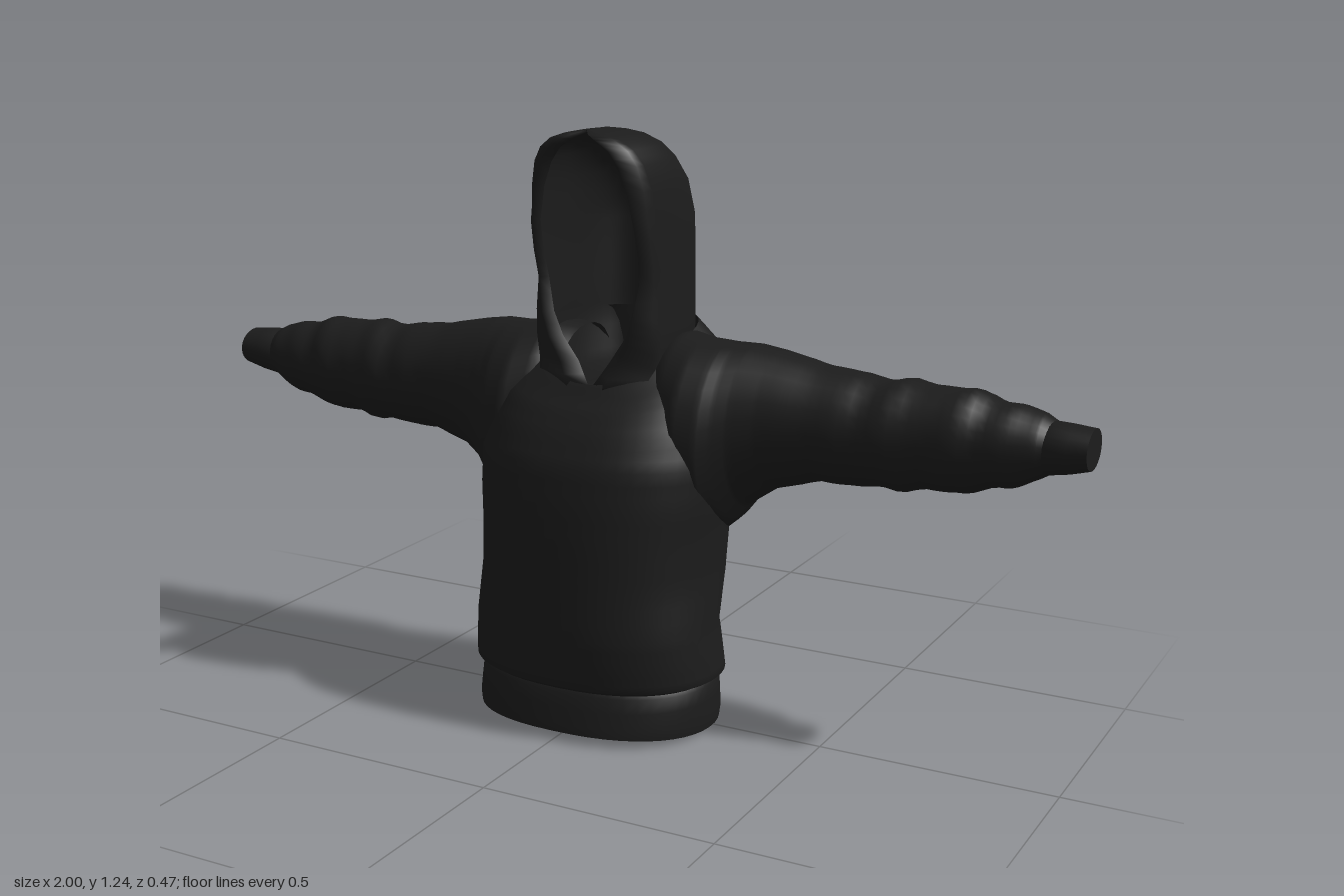
import * as THREE from 'three';

const { lerp, clamp, smoothstep } = THREE.MathUtils;
const fabric = new THREE.MeshStandardMaterial({ color: 0x1c1c1c, side: THREE.DoubleSide });
fabric.name = 'charcoal fabric';

// Smooth skin through a list of rings (arrays of [x, y, z]); caps have their own vertices
function loft(name, rings, { closed = true, capStart = false, capEnd = false } = {}) {
  const n = rings[0].length, pos = rings.flat(2), idx = [];
  for (let r = 0; r < rings.length - 1; r++) {
    for (let i = 0; i < (closed ? n : n - 1); i++) {
      const j = (i + 1) % n, a = r * n + i, b = r * n + j;
      idx.push(a, b, b + n, a, b + n, a + n);
    }
  }
  const cap = (ring, flip) => {
    const base = pos.length / 3;
    const c = [0, 1, 2].map(k => ring.reduce((s, p) => s + p[k], 0) / n);
    pos.push(...ring.flat(), ...c);
    for (let i = 0; i < n; i++) {
      const a = base + i, b = base + (i + 1) % n;
      idx.push(...(flip ? [b, a, base + n] : [a, b, base + n]));
    }
  };
  if (capStart) cap(rings[0], true);
  if (capEnd) cap(rings[rings.length - 1], false);
  const g = new THREE.BufferGeometry();
  g.setAttribute('position', new THREE.Float32BufferAttribute(pos, 3));
  g.setIndex(idx);
  g.computeVertexNormals();
  const m = new THREE.Mesh(g, fabric);
  m.name = name;
  return m;
}

// Insert blended rows between the given ones
function resample(rows, steps) {
  const out = [];
  for (let i = 0; i < rows.length - 1; i++) {
    for (let s = 0; s < steps; s++) {
      out.push(rows[i].map((v, k) => lerp(v, rows[i + 1][k], s / steps)));
    }
  }
  out.push(rows[rows.length - 1]);
  return out;
}

const spow = (v, e) => Math.sign(v) * Math.abs(v) ** e;

// Horizontal body ring: height, half width, front z, back z, drop of the front edge
function bodyRing([y, w, zf, zb, dip]) {
  const ring = [], N = 48;
  // The back bulges in the middle at the waist and flattens between the shoulders
  const waist = smoothstep(y, 0.2, 0.35), shoulders = smoothstep(y, 0.42, 0.62);
  const backPower = lerp(lerp(0.95, 1.15, waist), 0.6, shoulders);
  for (let i = 0; i < N; i++) {
    const a = (i / N) * Math.PI * 2;
    const s = Math.sin(a), c = Math.cos(a);
    ring.push([
      w * spow(s, 0.85),
      y - dip * ((1 + c) / 2) ** 2,
      (zf + zb) / 2 + ((zf - zb) / 2) * spow(c, c < 0 ? backPower : 0.95),
    ]);
  }
  return ring;
}

// Upright sleeve ring: x, bottom y, top y, back z, front z
function sleeveRing([x, y0, y1, z0, z1], side, wrinkle) {
  const ring = [], N = 28;
  // Fuller towards the back of the shoulder
  const backPower = lerp(0.75, 1, smoothstep(x, 0.2, 0.45));
  for (let i = 0; i < N; i++) {
    const a = (i / N) * Math.PI * 2 * side;
    const s = Math.sin(a), c = Math.cos(a);
    const k = 1 + wrinkle * (Math.sin(x * 52 + 1.3 * s) + 0.6 * Math.sin(x * 83 + 2 * a));
    ring.push([
      side * x,
      (y0 + y1) / 2 + ((y1 - y0) / 2) * k * c,
      (z0 + z1) / 2 + ((z1 - z0) / 2) * k * spow(s, s < 0 ? backPower : 1),
    ]);
  }
  return ring;
}

// U-shaped hood ring, left to right round the back: height, half width, front z, back z, opening half width
function hoodRing([y, w, zf, zb, open]) {
  const N = 32, ring = [];
  const edge = w * 0.9, lip = Math.min(open, w * 0.85);
  const rim = [[lip, y, zf - 0.03], [lip + (edge - lip) * 0.3, y, zf - 0.004]];
  for (let i = 0; i <= N; i++) {
    const a = 0.1 + (i / N) * (Math.PI - 0.2);
    const front = Math.max(0, 1 - Math.sin(a) * 1.5);
    ring.push([
      w * spow(Math.cos(a), 0.5) * (1 - 0.13 * front),
      y,
      zf - (zf - zb) * Math.sin(a) ** 0.95,
    ]);
  }
  return [...rim, ...ring, ...rim.map(([x, yy, z]) => [-x, yy, z]).reverse()];
}

export function createModel() {
  const group = new THREE.Group();
  group.name = 'hoodedSweatshirt';

  // Torso, with the neckline dropping at the front
  const torso = resample([
    [0.112, 0.258, 0.214, -0.163, 0],
    [0.122, 0.276, 0.228, -0.174, 0],
    [0.17, 0.272, 0.233, -0.168, 0],
    [0.23, 0.266, 0.236, -0.161, 0],
    [0.33, 0.264, 0.23, -0.222, 0],
    [0.42, 0.267, 0.224, -0.233, 0],
    [0.5, 0.274, 0.215, -0.233, 0],
    [0.58, 0.275, 0.2, -0.226, 0],
    [0.66, 0.264, 0.168, -0.221, 0.02],
    [0.74, 0.245, 0.138, -0.22, 0.06],
    [0.79, 0.215, 0.112, -0.222, 0.085],
    [0.825, 0.165, 0.095, -0.226, 0.1],
    [0.84, 0.143, 0.09, -0.228, 0.11],
  ], 3);
  group.add(loft('torso', torso.map(bodyRing)));

  // Ribbed hem band, closed underneath
  const hem = [
    [0.004, 0.262, 0.234, -0.177, -0.02],
    [0.03, 0.266, 0.232, -0.176, -0.012],
    [0.075, 0.264, 0.224, -0.17, 0],
    [0.105, 0.262, 0.218, -0.168, 0],
    [0.118, 0.25, 0.208, -0.158, 0],
  ];
  group.add(loft('hemBand', hem.map(bodyRing), { capStart: true }));

  // Sleeves and cuffs, mirrored; the roots taper away inside the torso
  const sleeve = resample([
    [0.1, 0.58, 0.815, -0.212, 0.03],
    [0.15, 0.52, 0.824, -0.218, 0.075],
    [0.2, 0.45, 0.817, -0.221, 0.108],
    [0.25, 0.418, 0.814, -0.222, 0.1],
    [0.275, 0.44, 0.813, -0.222, 0.082],
    [0.305, 0.48, 0.812, -0.221, 0.064],
    [0.36, 0.518, 0.803, -0.219, 0.045],
    [0.46, 0.545, 0.782, -0.212, 0.025],
    [0.56, 0.546, 0.77, -0.207, 0.015],
    [0.66, 0.552, 0.77, -0.198, 0.005],
    [0.76, 0.562, 0.765, -0.192, -0.003],
    [0.84, 0.58, 0.748, -0.185, -0.018],
    [0.9, 0.605, 0.735, -0.172, -0.03],
    [0.925, 0.62, 0.722, -0.158, -0.04],
  ], 5);
  const cuff = [
    [0.9, 0.63, 0.71, -0.145, -0.05],
    [0.915, 0.617, 0.724, -0.155, -0.038],
    [0.96, 0.625, 0.722, -0.152, -0.04],
    [1.0, 0.636, 0.718, -0.15, -0.042],
  ];
  for (const [label, side] of [['left', 1], ['right', -1]]) {
    const rings = sleeve.map(r => sleeveRing(r, side, clamp((r[0] - 0.4) * 0.15, 0, 0.03)));
    group.add(loft(label + 'Sleeve', rings));
    group.add(loft(label + 'Cuff', cuff.map(r => sleeveRing(r, side, 0)), { capEnd: true }));
  }

  // Hood: open face with a turned-in rim, a V at the throat and a drape tapering down the back
  const hood = resample([
    [0.4, 0.0, -0.14, -0.228, 0],
    [0.52, 0.07, -0.1, -0.234, 0],
    [0.64, 0.125, 0.0, -0.228, 0],
    [0.72, 0.14, 0.1, -0.226, 0.003],
    [0.77, 0.148, 0.085, -0.229, 0.035],
    [0.82, 0.154, 0.088, -0.235, 0.07],
    [0.87, 0.153, 0.09, -0.236, 0.09],
    [0.94, 0.152, 0.081, -0.236, 0.107],
    [1.0, 0.152, 0.093, -0.236, 0.113],
    [1.06, 0.15, 0.108, -0.235, 0.11],
    [1.13, 0.145, 0.116, -0.208, 0.096],
    [1.18, 0.132, 0.12, -0.162, 0.077],
    [1.21, 0.112, 0.123, -0.125, 0.055],
    [1.23, 0.082, 0.123, -0.085, 0.025],
    [1.24, 0.05, 0.11, -0.045, 0.004],
    [1.246, 0.0, 0.085, 0.0, 0],
  ], 2);
  // Rings are reversed so that the hood faces outward
  group.add(loft('hood', hood.map(r => hoodRing(r).reverse()), { closed: false }));

  return group;
}
